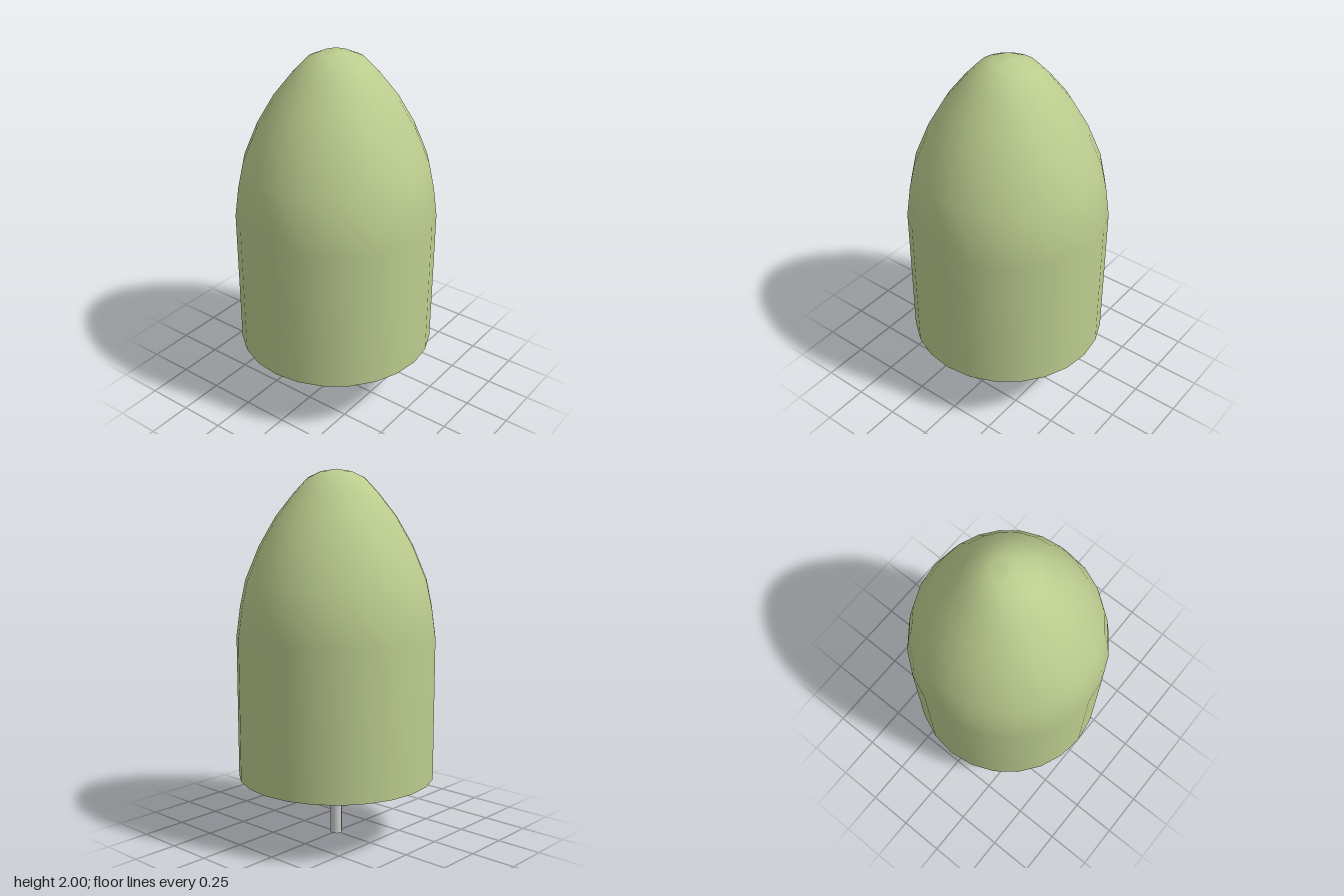
import * as THREE from 'three';

export function createModel() {
  const group = new THREE.Group();
  const green = new THREE.MeshStandardMaterial({ color: 0xbbcc8e });
  const grey = new THREE.MeshStandardMaterial({ color: 0xcccccc });
  const sides = 24, radius = 0.537, bottom = 0.343;

  const add = (name, geometry, material, y = 0) => {
    const mesh = new THREE.Mesh(geometry, material);
    mesh.name = name;
    mesh.position.y = y;
    group.add(mesh);
    return mesh;
  };

  // Straight wall running into a rounded, tapering dome
  const profile = [
    [radius, bottom], [radius, 1.12], [0.515, 1.28], [0.485, 1.42], [0.41, 1.6],
    [0.32, 1.755], [0.225, 1.875], [0.15, 1.955], [0.08, 1.988], [0, 2],
  ].map(([x, y]) => new THREE.Vector2(x, y));
  add('domedBody', new THREE.LatheGeometry(profile, sides), green);

  // Flat underside
  const base = new THREE.CircleGeometry(radius, sides).rotateX(Math.PI / 2);
  add('bodyUnderside', base, green, bottom);

  // Thin rod that carries the body
  const rodHeight = bottom + 0.02;
  add('supportRod', new THREE.CylinderGeometry(0.031, 0.031, rodHeight, 16), grey, rodHeight / 2);

  return group;
}
